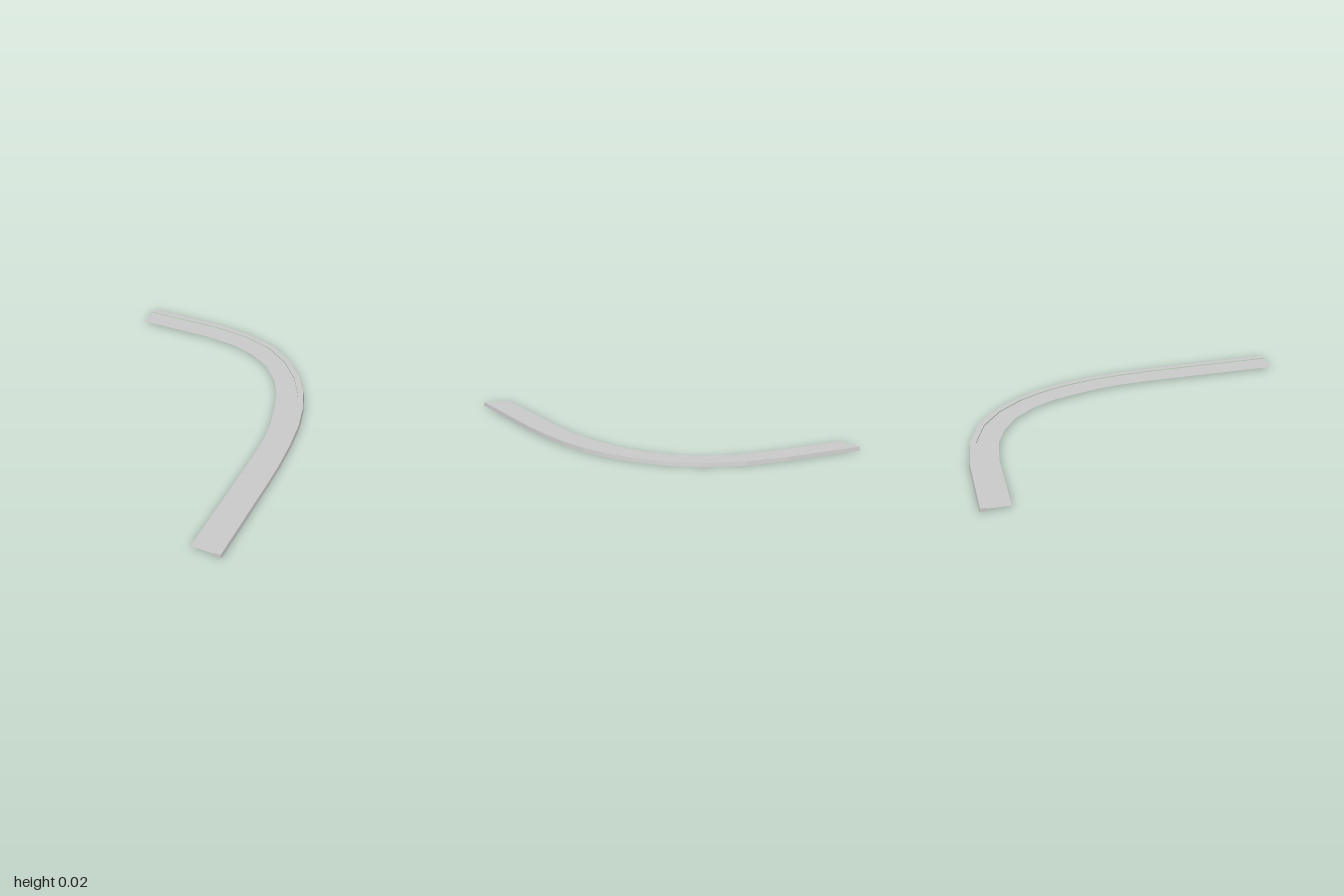
import * as THREE from 'three';

// Plan of the bend: outer x, outer z, inner x, inner z at each station
const STATIONS = [
  [-0.685, -1, -0.685, -0.835], [-0.23, -1, -0.23, -0.835],
  [0, -0.973, -0.03, -0.811], [0.205, -0.9, 0.115, -0.755],
  [0.36, -0.78, 0.235, -0.675], [0.475, -0.635, 0.34, -0.55],
  [0.55, -0.495, 0.405, -0.42], [0.605, -0.345, 0.445, -0.29],
  [0.645, -0.165, 0.485, -0.13], [0.666, 0.03, 0.505, 0.015],
  [0.677, 0.22, 0.513, 0.2], [0.68, 0.4, 0.513, 0.4], [0.68, 1, 0.513, 1],
];
const SEAM = 0.24;    // share of the width taken by the kerb
const TOP = 0.021;    // kerb height
const WALK = 0.015;   // paving height

// Point at a station: t runs across from outer (0) to inner (1) edge
function pointAt(s, [t, y]) {
  return [s[0] + (s[2] - s[0]) * t, y, s[1] + (s[3] - s[1]) * t];
}

function meshFrom(name, positions, color = 0xcccccc) {
  const geometry = new THREE.BufferGeometry();
  geometry.setAttribute('position', new THREE.Float32BufferAttribute(positions, 3));
  geometry.computeVertexNormals();
  const mesh = new THREE.Mesh(geometry, new THREE.MeshStandardMaterial({
    color, flatShading: true, side: THREE.DoubleSide,
  }));
  mesh.name = name;
  return mesh;
}

function quad(a, b, c, d) {
  return [...a, ...b, ...c, ...a, ...c, ...d];
}

// Sweep an open cross-section along the bend
function sweep(profile) {
  const out = [];
  for (let i = 0; i < STATIONS.length - 1; i++) {
    for (let j = 0; j < profile.length - 1; j++) {
      const [s, n] = [STATIONS[i], STATIONS[i + 1]];
      out.push(...quad(pointAt(s, profile[j]), pointAt(s, profile[j + 1]),
        pointAt(n, profile[j + 1]), pointAt(n, profile[j])));
    }
  }
  return out;
}

export function createModel() {
  const group = new THREE.Group();
  group.name = 'curvedPavement';

  // Kerb section with a slightly battered outer face
  const outerTop = [0.03, TOP], innerTop = [SEAM, TOP];
  const innerBottom = [SEAM, 0], outerBottom = [0, 0];
  group.add(meshFrom('kerb', sweep([innerBottom, outerBottom, outerTop, innerTop])));
  group.add(meshFrom('kerbInnerFace', sweep([innerTop, innerBottom]), 0xc0d8c0));

  // Kerb ends
  const section = [outerTop, innerTop, innerBottom, outerBottom];
  const first = section.map((p) => pointAt(STATIONS[0], p)).reverse();
  const last = section.map((p) => pointAt(STATIONS[STATIONS.length - 1], p));
  group.add(meshFrom('kerbEnds', [...quad(...first), ...quad(...last)]));

  // Thin paving sheet inside the kerb
  group.add(meshFrom('walkway', sweep([[SEAM, WALK], [1, WALK]])));
  return group;
}
